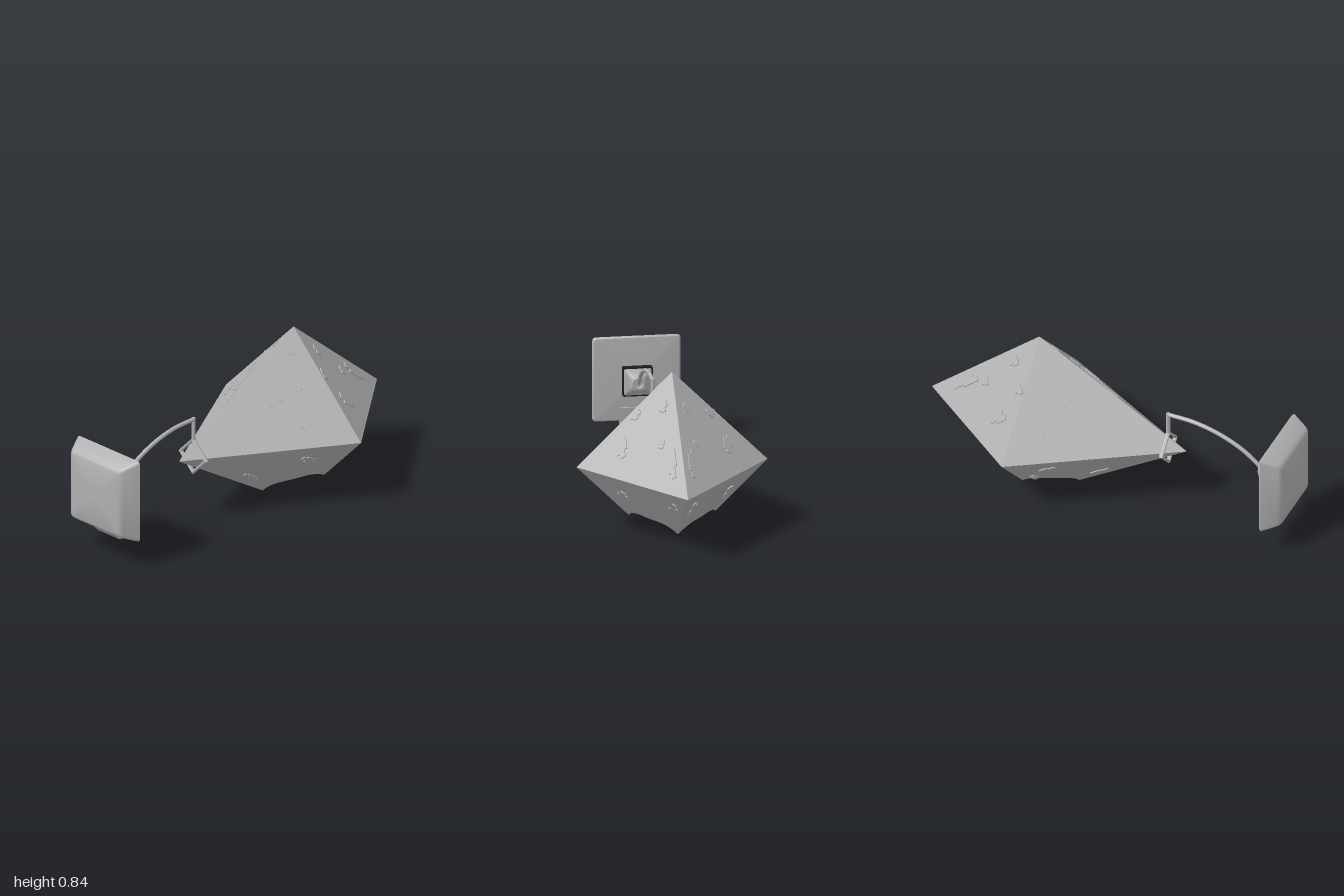
import * as THREE from 'three';
import { toCreasedNormals } from 'three/addons/utils/BufferGeometryUtils.js';

const grey = new THREE.MeshStandardMaterial({ color: 0xb0b0b0 });
grey.name = 'stone grey';
const dark = new THREE.MeshStandardMaterial({ color: 0x1c1c1c });
dark.name = 'dark rubber';

// Elongated octahedron: half width, half height, front and back reach, centre
const A = 0.487, B = 0.488, FRONT = 0.81, BACK = 0.59;
const CY = 0.357, CZ = -0.41;
const reach = (z) => (z >= 0 ? FRONT : BACK);
const V = (x, y, z) => new THREE.Vector3(x, y, z);

function mesh(name, geo, mat = grey) {
  const m = new THREE.Mesh(geo, mat);
  m.name = name;
  return m;
}

function flat(geo) {
  const g = geo.index ? geo.toNonIndexed() : geo;
  g.computeVertexNormals();
  return g;
}

// Collects triangles, turning each one away from (or towards) a centre point
function triangleSoup() {
  const pos = [];
  return {
    add(a, b, c, centre, sign = 1) {
      const n = b.clone().sub(a).cross(c.clone().sub(a));
      const out = a.clone().add(b).add(c).divideScalar(3).sub(centre);
      const list = n.dot(out) * sign >= 0 ? [a, b, c] : [a, c, b];
      list.forEach((p) => pos.push(p.x, p.y, p.z));
    },
    build() {
      const g = new THREE.BufferGeometry();
      g.setAttribute('position', new THREE.Float32BufferAttribute(pos, 3));
      g.computeVertexNormals();
      return g;
    },
  };
}

// Rounded-rectangle cross-sections [z, halfWidth, halfHeight, radius] joined along z
function loft(sections, cy, crease = 0.5) {
  const SEG = 4, n = 4 * (SEG + 1), soup = [];
  const ring = ([z, hx, hy, r]) => {
    const pts = [];
    for (let q = 0; q < 4; q++) {
      const sx = q === 0 || q === 3 ? 1 : -1, sy = q < 2 ? 1 : -1;
      for (let i = 0; i <= SEG; i++) {
        const t = (q + i / SEG) * Math.PI / 2;
        pts.push([sx * (hx - r) + r * Math.cos(t), cy + sy * (hy - r) + r * Math.sin(t), z]);
      }
    }
    return pts;
  };
  const rings = sections.map(ring);
  const last = rings.length - 1;
  for (let j = 0; j < n; j++) {
    const k = (j + 1) % n;
    for (let s = 0; s < last; s++) {
      const [a, b, c, d] = [rings[s][j], rings[s][k], rings[s + 1][k], rings[s + 1][j]];
      soup.push(...a, ...b, ...c, ...a, ...c, ...d);
    }
    soup.push(0, cy, sections[0][0], ...rings[0][k], ...rings[0][j]);
    soup.push(0, cy, sections[last][0], ...rings[last][j], ...rings[last][k]);
  }
  const g = new THREE.BufferGeometry();
  g.setAttribute('position', new THREE.Float32BufferAttribute(soup, 3));
  return toCreasedNormals(g, crease);
}

// Body with a scalloped opening bitten from its lower point
function buildBody() {
  const body = new THREE.Group();
  body.name = 'body';
  const hull = triangleSoup(), well = triangleSoup();
  const centre = V(0, CY, CZ), roof = V(0, 0.34, CZ);
  for (const sx of [1, -1]) for (const C of [FRONT, -BACK]) {
    hull.add(V(0, CY + B, CZ), V(sx * A, CY, CZ), V(0, CY, CZ + C), centre);
  }
  const at = (i) => {
    const t = i / 48 * Math.PI * 2, c = Math.cos(t), s = Math.sin(t);
    const k = Math.abs(c) / A + Math.abs(s) / reach(s);
    const r = 0.185 + 0.035 * Math.cos(2 * t) ** 2;
    return {
      edge: V(c / k, CY, CZ + s / k),
      rim: V(c * r, CY - B * (1 - r * k), CZ + s * r),
      top: V(c * r, 0.34, CZ + s * r),
    };
  };
  for (let i = 0; i < 48; i++) {
    const p = at(i), q = at(i + 1);
    hull.add(p.edge, q.edge, q.rim, centre);
    hull.add(p.edge, q.rim, p.rim, centre);
    const axis = V(0, (p.rim.y + 0.34) / 2, CZ);
    well.add(p.rim, q.rim, q.top, axis, -1);
    well.add(p.rim, q.top, p.top, axis, -1);
    well.add(p.top, q.top, roof, V(0, 1, CZ));
  }
  body.add(mesh('hull', hull.build()), mesh('openingWall', well.build()));

  // Faceted ball inside the opening, and a small knob on one lower face
  const ball = mesh('innerBall', flat(new THREE.SphereGeometry(0.147, 16, 10)));
  ball.position.set(0, 0.217, CZ);
  const knob = mesh('sideKnob', flat(new THREE.SphereGeometry(0.045, 12, 8)));
  knob.position.set(-0.215, 0.14, -0.345);
  knob.rotation.z = -0.7;
  knob.scale.set(1.05, 0.55, 0.6);
  body.add(ball, knob);
  return body;
}

// Thin stepped plate, like a broken tile
function tile(w, h) {
  const s = new THREE.Shape();
  [[-.5, -.5], [.1, -.5], [.1, -.3], [.5, -.3], [.5, .3], [.25, .3], [.25, .5], [-.25, .5], [-.25, .1], [-.5, .1]]
    .forEach(([x, y], i) => (i ? s.lineTo(x * w, y * h) : s.moveTo(x * w, y * h)));
  return new THREE.ExtrudeGeometry(s, { depth: 0.005, bevelEnabled: false });
}

// Tiles scattered over all eight faces: [x, z from centre, width, length]
function buildTiles() {
  const group = new THREE.Group();
  group.name = 'surfaceTiles';
  const spots = [
    [0.13, 0.23, 0.07, 0.14], [0.06, 0.36, 0.025, 0.11], [0.06, 0.06, 0.05, 0.045],
    [0.17, 0.12, 0.03, 0.06], [0.28, 0.17, 0.05, 0.09],
    [0.05, -0.38, 0.05, 0.17], [0.09, -0.255, 0.04, 0.045], [0.27, -0.11, 0.06, 0.11],
    [0.06, -0.11, 0.05, 0.06], [0.19, -0.03, 0.06, 0.05],
  ];
  for (const sx of [1, -1]) for (const sy of [1, -1]) for (const [x, z, w, h] of spots) {
    if (sy < 0 && Math.hypot(x, z) < 0.28) continue;
    const C = reach(z), sz = Math.sign(z);
    const n = V(sx / A, sy / B, sz / C).normalize();
    const v = V(0, -sy * B, sz * C).normalize();
    const u = v.clone().cross(n);
    const m = mesh('tile', tile(w, h));
    const y = CY + sy * B * (1 - x / A - Math.abs(z) / C);
    m.applyMatrix4(new THREE.Matrix4().makeBasis(u, v, n).setPosition(sx * x, y, CZ + z));
    group.add(m);
  }
  return group;
}

// Front panel with its rear mount and lower tab
function buildPanel() {
  const panel = new THREE.Group();
  panel.name = 'frontPanel';
  panel.add(mesh('panelShell', loft([
    [0.872, 0.07, 0.07, 0.01], [0.888, 0.217, 0.217, 0.015], [0.898, 0.225, 0.225, 0.018],
    [0.978, 0.188, 0.192, 0.02], [0.99, 0.178, 0.182, 0.02], [0.996, 0.165, 0.17, 0.02],
    [1.0, 0.03, 0.03, 0.01]], 0.37, 0.6)));
  panel.add(mesh('mountBand', loft([[0.843, 0.077, 0.077, 0.008], [0.88, 0.077, 0.077, 0.008]], 0.367), dark));
  panel.add(mesh('mountCone', loft([
    [0.808, 0.035, 0.035, 0.02], [0.825, 0.045, 0.045, 0.015], [0.842, 0.07, 0.07, 0.008]], 0.367)));
  const collar = mesh('cordCollar', new THREE.TorusGeometry(0.028, 0.009, 8, 20));
  collar.position.set(0, 0.37, 0.81);
  panel.add(collar);

  const s = new THREE.Shape();
  [[0.955, 0.172], [0.9, 0.115], [0.884, 0.118], [0.874, 0.22], [0.9, 0.225]]
    .forEach(([z, y], i) => (i ? s.lineTo(-z, y) : s.moveTo(-z, y)));
  const tab = mesh('lowerTab', new THREE.ExtrudeGeometry(s, { depth: 0.16, bevelEnabled: false }));
  tab.rotation.y = Math.PI / 2;
  tab.position.x = -0.075;
  panel.add(tab);
  return panel;
}

// Curved cord dropping to a diamond loop around the body's front tip
function buildCord() {
  const cord = new THREE.Group();
  cord.name = 'cord';
  const arc = new THREE.CatmullRomCurve3([
    V(0, 0.37, 0.815), V(0, 0.455, 0.71), V(0, 0.518, 0.58), V(0, 0.553, 0.44), V(0, 0.56, 0.3)]);
  cord.add(mesh('arcCord', new THREE.TubeGeometry(arc, 32, 0.011, 8)));
  const drop = mesh('dropRod', new THREE.CylinderGeometry(0.011, 0.011, 0.125, 8));
  drop.position.set(0, 0.505, 0.298);
  cord.add(drop);
  const loop = mesh('tipLoop', flat(new THREE.TorusGeometry(0.091, 0.012, 8, 4)));
  loop.position.set(0, CY, 0.298);
  cord.add(loop);
  return cord;
}

export function createModel() {
  const model = new THREE.Group();
  model.name = 'tetheredOctahedron';
  model.add(buildBody(), buildTiles(), buildPanel(), buildCord());
  return model;
}
